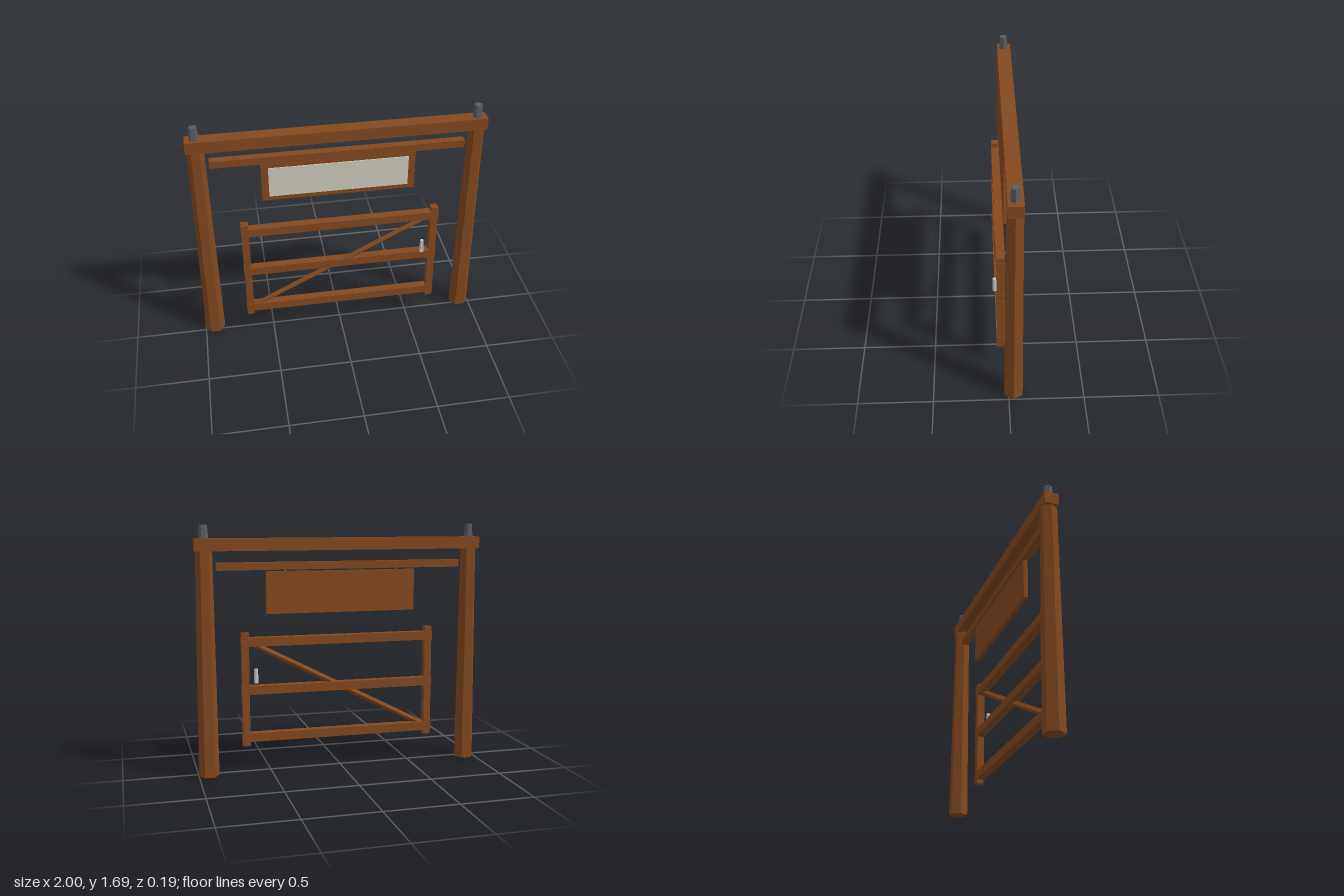
import * as THREE from 'three';

const material = (name, color) => {
  const m = new THREE.MeshStandardMaterial({ color });
  m.name = name;
  return m;
};

export function createModel() {
  const group = new THREE.Group();
  const wood = material('wood', 0x84491f);
  const iron = material('iron', 0x5a5e62);
  const board = material('pale board', 0xd2cebf);
  const steel = material('light steel', 0xc6c6c0);

  const add = (name, geometry, mat, x, y, z, parent = group) => {
    const mesh = new THREE.Mesh(geometry, mat);
    mesh.name = name;
    mesh.position.set(x, y, z);
    parent.add(mesh);
    return mesh;
  };
  const box = (name, w, h, d, x, y, z, parent, mat = wood) =>
    add(name, new THREE.BoxGeometry(w, h, d), mat, x, y, z, parent);
  // Tapered six-sided prism with corners on the x axis and sharp edges
  const hex = (name, rTop, rBottom, y0, y1, x, z, mat, parent) => {
    const g = new THREE.CylinderGeometry(rTop, rBottom, y1 - y0, 6).rotateY(Math.PI / 6).toNonIndexed();
    g.computeVertexNormals();
    return add(name, g, mat, x, (y0 + y1) / 2, z, parent);
  };

  // Posts with iron caps, joined by a lintel
  const frameZ = -0.033;
  for (const [label, s] of [['right', -1], ['left', 1]]) {
    hex(label + 'Post', 0.056, 0.07, 0, 1.53, s * 0.93, frameZ, wood);
    hex(label + 'PostCap', 0.027, 0.033, 1.59, 1.69, s * 0.93, frameZ, iron);
  }
  box('lintel', 1.988, 0.082, 0.096, 0, 1.56, -0.035);
  box('lowerCrossbar', 1.704, 0.05, 0.055, 0, 1.416, -0.03);

  // Hanging sign
  const sign = new THREE.Group();
  sign.name = 'hangingSign';
  group.add(sign);
  box('signBacking', 1.044, 0.285, 0.03, 0, 1.237, frameZ, sign);
  box('signFace', 0.948, 0.22, 0.008, 0, 1.238, frameZ + 0.017, sign, board);
  for (const s of [-1, 1]) hex('signHanger', 0.008, 0.008, 1.375, 1.395, s * 0.39, frameZ, iron, sign);

  // Gate: two stiles, three rails, a diagonal brace and a latch
  const gate = new THREE.Group();
  gate.name = 'gate';
  group.add(gate);
  const gateZ = 0.042;
  for (const s of [-1, 1]) box('gateStile', 0.05, 0.79, 0.052, s * 0.66, 0.565, gateZ, gate);
  for (const y of [0.229, 0.562, 0.896]) box('gateRail', 1.376, 0.06, 0.058, 0, y, gateZ, gate);

  const from = new THREE.Vector3(-0.64, 0.237, 0.052);
  const to = new THREE.Vector3(0.64, 0.899, 0.052);
  const along = to.clone().sub(from);
  const braceGeometry = new THREE.CylinderGeometry(0.021, 0.021, along.length(), 4).toNonIndexed();
  braceGeometry.computeVertexNormals();
  const mid = from.clone().add(to).multiplyScalar(0.5);
  const brace = add('diagonalBrace', braceGeometry, wood, mid.x, mid.y, mid.z, gate);
  brace.rotation.z = Math.atan2(along.y, along.x) - Math.PI / 2;

  hex('latch', 0.013, 0.0165, 0.6, 0.7, 0.579, 0.08, steel, gate);
  return group;
}
